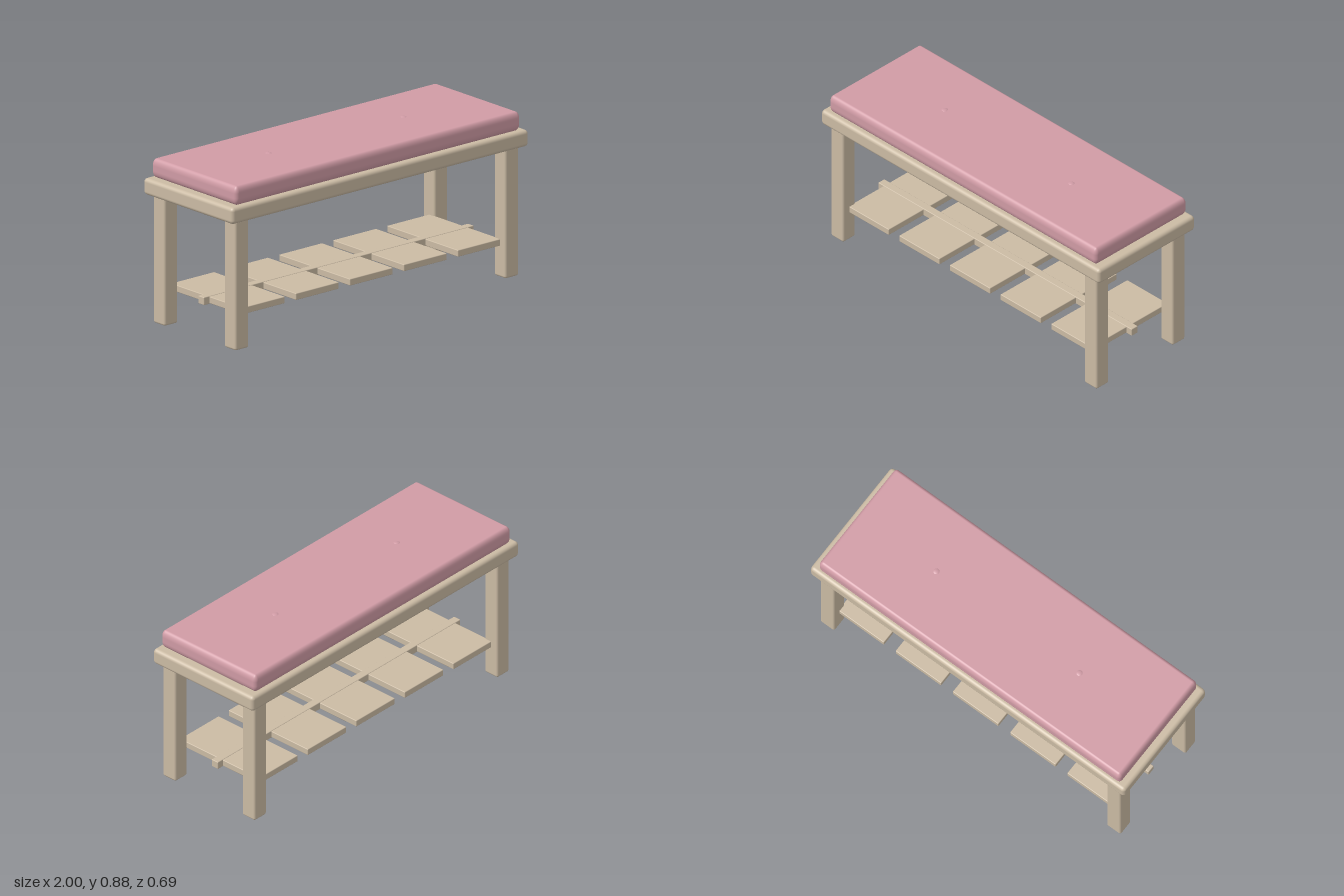
import * as THREE from 'three';
import { RoundedBoxGeometry } from 'three/addons/geometries/RoundedBoxGeometry.js';

export function createModel() {
  const bench = new THREE.Group();
  bench.name = 'bench';

  const wood = new THREE.MeshStandardMaterial({ color: 0xcbbba4 });
  wood.name = 'paleWood';
  const fabric = new THREE.MeshStandardMaterial({ color: 0xd09ba5 });
  fabric.name = 'pinkFabric';

  function add(name, geometry, material, x, y, z) {
    const mesh = new THREE.Mesh(geometry, material);
    mesh.name = name;
    mesh.position.set(x, y, z);
    bench.add(mesh);
    return mesh;
  }

  // Seat board
  add('seatBoard', new RoundedBoxGeometry(2, 0.088, 0.69, 4, 0.02), wood, 0, 0.729, 0);

  // Cushion, its rounded edge taller than wide
  const cushion = new RoundedBoxGeometry(1.92, 0.101 / 1.7, 0.654, 5, 0.022);
  cushion.scale(1, 1.7, 1);
  add('cushion', cushion, fabric, 0, 0.8235, 0);

  // Tufting buttons
  const button = new THREE.SphereGeometry(0.018, 24, 12);
  button.scale(1, 0.35, 1);
  for (const x of [-0.455, 0.455]) add('cushionButton', button, fabric, x, 0.8712, 0);

  // Legs
  const leg = new RoundedBoxGeometry(0.09, 0.69, 0.089, 3, 0.012);
  for (const x of [-0.91, 0.91]) {
    for (const z of [-0.2725, 0.2725]) add('leg', leg, wood, x, 0.345, z);
  }

  // Shelf: a long rail carrying five slats
  add('shelfRail', new RoundedBoxGeometry(1.82, 0.042, 0.044, 2, 0.004), wood, 0, 0.184, 0);
  const slat = new RoundedBoxGeometry(0.29, 0.036, 0.546, 2, 0.004);
  for (let i = -2; i <= 2; i++) add('shelfSlat', slat, wood, i * 0.364, 0.184, 0);

  return bench;
}
